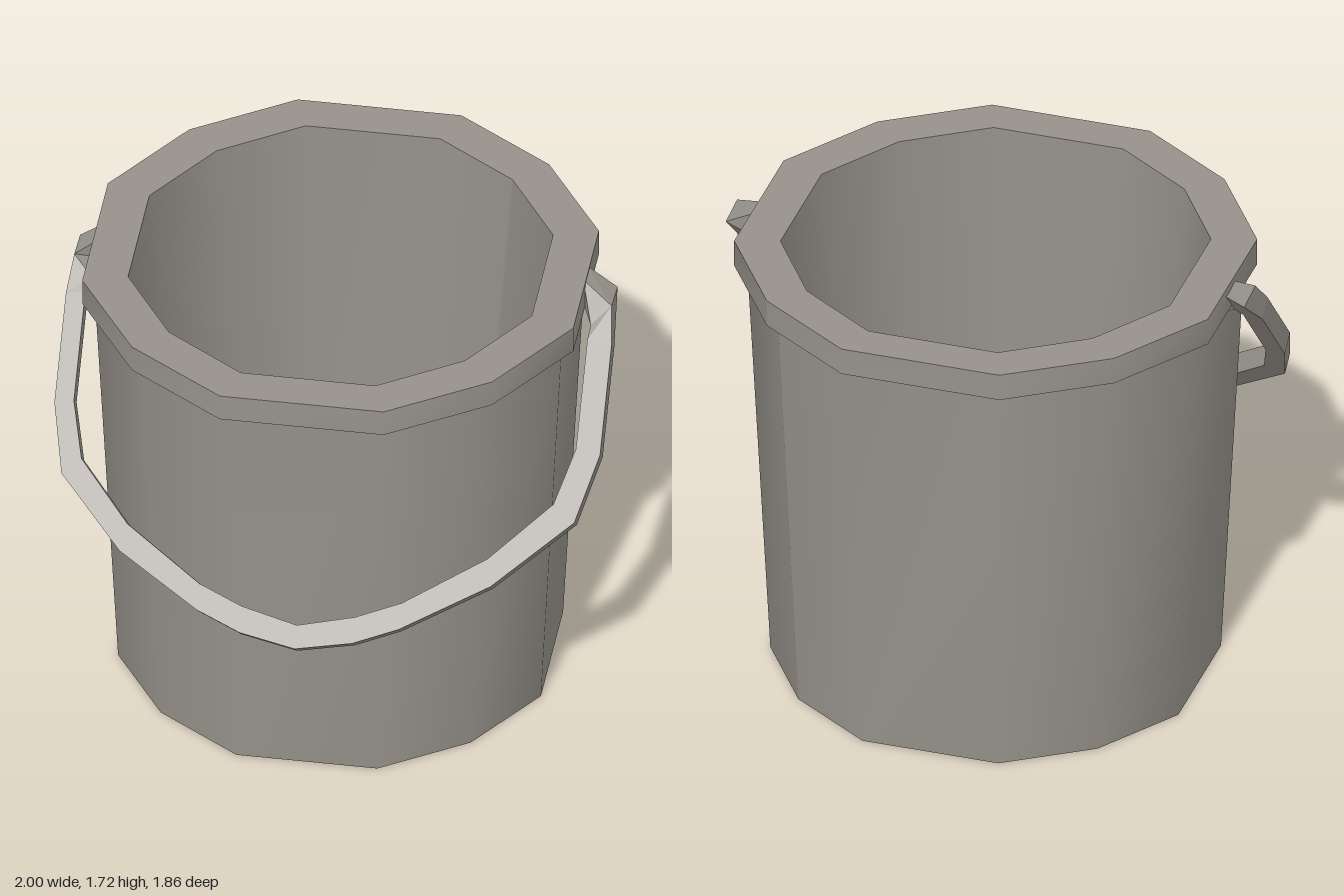
import * as THREE from 'three';

const CX = -0.02, CZ = -0.035;

// Twelve-sided outline, first point repeated so the seam stays sharp
const QUARTER = [[0.66, -0.66], [0.9, -0.295], [0.9, 0.295], [0.66, 0.66], [0.3, 0.9], [-0.3, 0.9]];
const OUTLINE = [...QUARTER, ...QUARTER.map(([x, z]) => [-x, -z]), QUARTER[0]];

function ring(halfX, halfZ, y) {
  return OUTLINE.map(([x, z]) => [CX + x / 0.9 * halfX, y, CZ + z / 0.9 * halfZ]);
}

// Skin joining successive cross-sections of equal point count
function loft(rings, flat = false) {
  const n = rings[0].length, index = [];
  for (let r = 0; r < rings.length - 1; r++) {
    for (let i = 0; i < n - 1; i++) {
      const a = r * n + i, b = a + n;
      index.push(a, b, a + 1, b, b + 1, a + 1);
    }
  }
  let g = new THREE.BufferGeometry();
  g.setAttribute('position', new THREE.Float32BufferAttribute(rings.flat(2), 3));
  g.setIndex(index);
  if (flat) g = g.toNonIndexed();
  g.computeVertexNormals();
  return g;
}

export function createModel() {
  const model = new THREE.Group();
  model.name = 'bucket';
  const grey = new THREE.MeshStandardMaterial({ color: 0x96928b });
  grey.name = 'grey';

  function add(name, geometry) {
    const mesh = new THREE.Mesh(geometry, grey);
    mesh.name = name;
    model.add(mesh);
  }

  // Bucket shell: rings from the base, up the outside, over the rim, down inside
  const base = ring(0.775, 0.775, 0);
  const bodyTop = ring(0.855, 0.852, 1.615);
  const rimLow = ring(0.9, 0.895, 1.615);
  const rimHigh = ring(0.9, 0.895, 1.72);
  const mouth = ring(0.74, 0.745, 1.72);
  const floor = ring(0.58, 0.745, 0.08);
  add('base', loft([ring(0, 0, 0), base]));
  add('outerWall', loft([base, bodyTop]));
  add('rimUnderside', loft([bodyTop, rimLow]));
  add('rimSide', loft([rimLow, rimHigh]));
  add('rimTop', loft([rimHigh, mouth]));
  add('innerWall', loft([mouth, floor]));
  add('floor', loft([floor, ring(0, 0, 0.08)]));

  // Handle: outer and inner edge of the front face, [x, y] from the middle to one side
  const profile = [
    [0, 0.655, 0, 0.72],
    [0.207, 0.685, 0.207, 0.757],
    [0.37, 0.735, 0.37, 0.807],
    [0.68, 0.875, 0.66, 0.95],
    [0.94, 1.07, 0.865, 1.115],
    [1, 1.26, 0.92, 1.27],
    [1, 1.56, 0.92, 1.57],
  ];
  const frontZ = y => 0.93 - (y - 0.655) * 0.881;
  const shift = x => -0.035 * (1 - x ** 4);

  function section([ox, oy, ix, iy], side) {
    const front = (x, y) => [side * x + shift(x), y, frontZ(y)];
    const back = (x, y) => [side * x + shift(x), y - 0.055, frontZ(y) - 0.062];
    return [front(ox, oy), front(ix, iy), back(ix, iy), back(ox, oy), front(ox, oy)];
  }

  // Bent ends that turn inward into the rim
  const bend = [[0.985, 1.665, 0.035], [0.915, 1.605, 0.08], [0.915, 1.565, 0.01], [0.985, 1.65, -0.1]];
  const tip = [[0.87, 1.718, -0.035], [0.87, 1.607, -0.035], [0.87, 1.617, -0.12], [0.87, 1.718, -0.12]];
  const end = (corners, side) => [...corners, corners[0]].map(([x, y, z]) => [side * x, y, z]);
  const half = side => [
    ...profile.map(p => section(p, side)), end(bend, side), end(tip, side),
  ];
  add('handle', loft([...half(-1).reverse(), ...half(1).slice(1)], true));

  return model;
}
